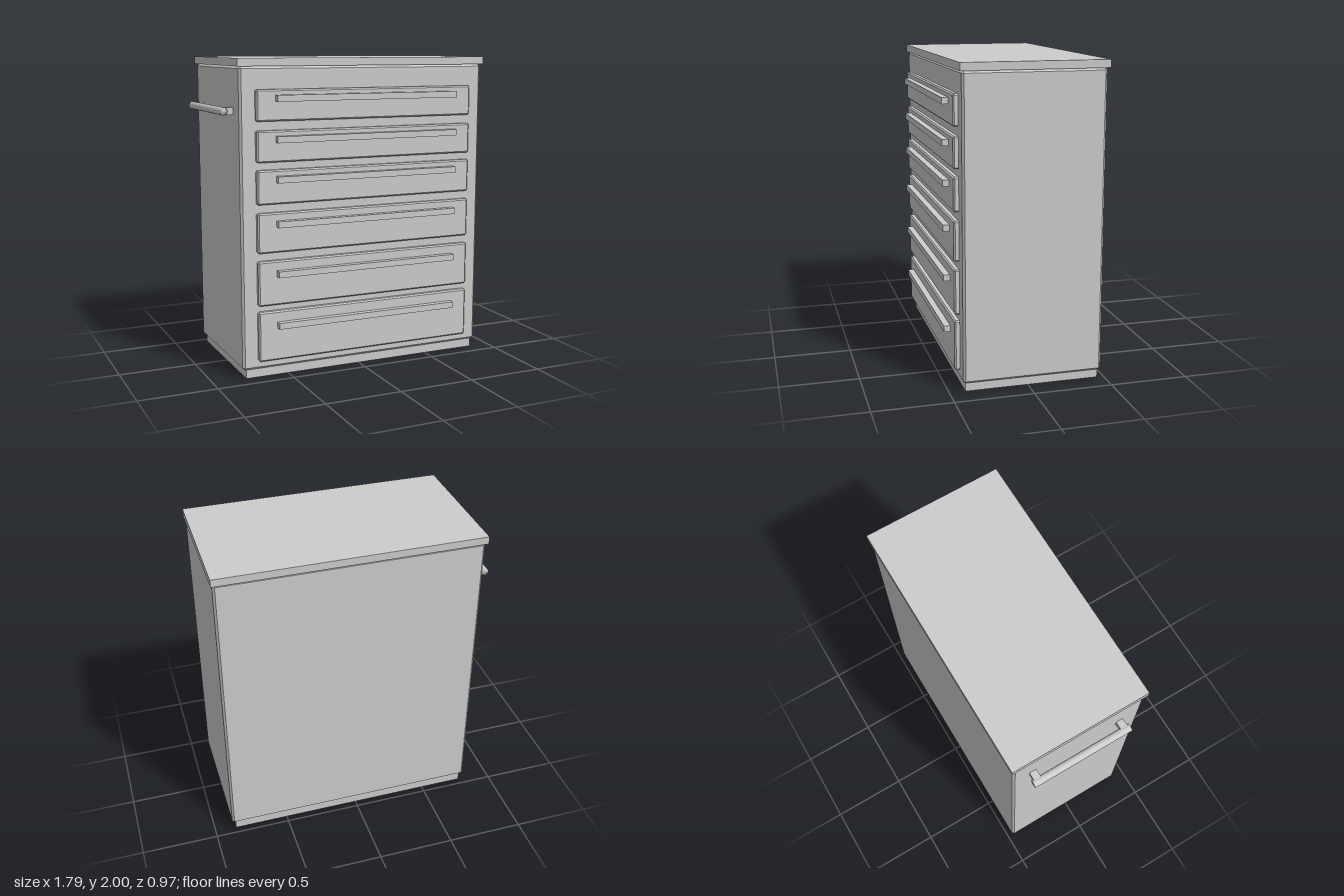
import * as THREE from 'three';
import { ConvexGeometry } from 'three/addons/geometries/ConvexGeometry.js';
import { mergeVertices } from 'three/addons/utils/BufferGeometryUtils.js';

const steel = new THREE.MeshStandardMaterial({ color: 0xcccccc });
steel.name = 'lightGrey';

// Box given by its limits on each axis; c > 0 chamfers every edge.
function block(name, [x0, x1], [y0, y1], [z0, z1], c = 0) {
  const half = [(x1 - x0) / 2, (y1 - y0) / 2, (z1 - z0) / 2];
  let geometry;
  if (c > 0) {
    const points = [];
    for (const sx of [-1, 1]) for (const sy of [-1, 1]) for (const sz of [-1, 1]) {
      for (let full = 0; full < 3; full++) {
        const p = half.map((h, axis) => (axis === full ? h : h - c));
        points.push(new THREE.Vector3(p[0] * sx, p[1] * sy, p[2] * sz));
      }
    }
    geometry = new ConvexGeometry(points);
  } else {
    geometry = new THREE.BoxGeometry(half[0] * 2, half[1] * 2, half[2] * 2);
  }
  const mesh = new THREE.Mesh(geometry, steel);
  mesh.name = name;
  mesh.position.set((x0 + x1) / 2, (y0 + y1) / 2, (z0 + z1) / 2);
  return mesh;
}

export function createModel() {
  const model = new THREE.Group();
  model.name = 'drawerCabinet';

  // Carcass
  model.add(
    block('plinth', [-0.783, 0.859], [0, 0.06], [-0.456, 0.4]),
    block('body', [-0.807, 0.883], [0.057, 1.951], [-0.47, 0.415], 0.014),
    block('worktop', [-0.82, 0.894], [1.951, 2], [-0.484, 0.427])
  );

  // Drawers: bottom, top and handle height
  const drawers = [
    [1.619, 1.812, 1.759], [1.368, 1.563, 1.509], [1.108, 1.321, 1.263],
    [0.804, 1.055, 0.985], [0.469, 0.752, 0.67], [0.111, 0.43, 0.34]
  ];
  drawers.forEach(([bottom, top, grip], i) => {
    const drawer = new THREE.Group();
    drawer.name = `drawer${i + 1}`;
    drawer.add(
      block('drawerFront', [-0.709, 0.786], [bottom, top], [0.405, 0.447], 0.009),
      block('drawerHandle', [-0.587, 0.664], [grip - 0.02, grip + 0.02], [0.445, 0.487])
    );
    model.add(drawer);
  });

  // Push bar on the right side, shaded smoothly over its ends
  const pushHandle = new THREE.Group();
  pushHandle.name = 'pushHandle';
  let rod = new THREE.CylinderGeometry(0.025, 0.025, 0.675, 32);
  rod.deleteAttribute('normal');
  rod.deleteAttribute('uv');
  rod = mergeVertices(rod);
  rod.computeVertexNormals();
  const bar = new THREE.Mesh(rod, steel);
  bar.name = 'pushBar';
  bar.rotation.x = Math.PI / 2;
  bar.position.set(-0.871, 1.678, -0.033);
  pushHandle.add(bar);
  for (const z of [-0.335, 0.269]) {
    pushHandle.add(block('barBracket', [-0.88, -0.8], [1.656, 1.7], [z - 0.024, z + 0.024]));
  }
  model.add(pushHandle);

  return model;
}
